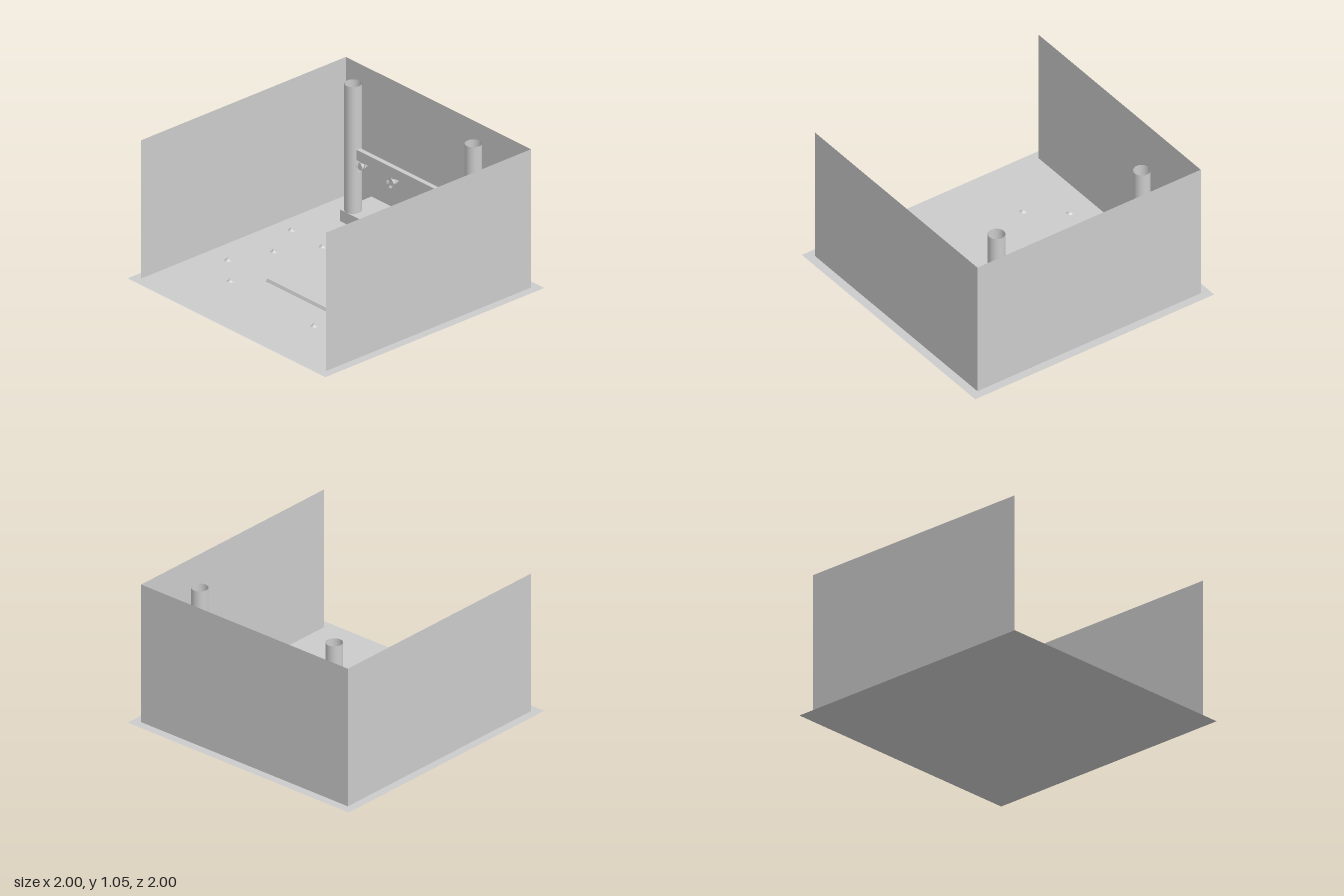
import * as THREE from 'three';

export function createModel() {
  const root = new THREE.Group();
  const smooth = new THREE.MeshStandardMaterial({ color: 0xcccccc, side: THREE.DoubleSide });
  const flat = new THREE.MeshStandardMaterial({ color: 0xcccccc, side: THREE.DoubleSide, flatShading: true });

  const add = (parent, name, geometry, x, y, z, material = flat) => {
    const mesh = new THREE.Mesh(geometry, material);
    mesh.name = name;
    mesh.position.set(x, y, z);
    parent.add(mesh);
    return mesh;
  };

  // Room: ground sheet and three thin walls, open at the front
  const height = 1.05, half = 0.935;
  add(root, 'floor', new THREE.PlaneGeometry(2, 2).rotateX(-Math.PI / 2), 0, 0, 0);
  const wall = new THREE.PlaneGeometry(2 * half, height);
  add(root, 'backWall', wall, 0, height / 2, -half);
  add(root, 'leftWall', wall, half, height / 2, 0).rotation.y = -Math.PI / 2;
  add(root, 'rightWall', wall, -half, height / 2, 0).rotation.y = Math.PI / 2;

  // Stage with a tapered apron; the outline is drawn in x and -z
  const outline = [[-0.675, 0.933], [-0.675, 0.645], [-0.3, 0.645], [-0.14, 0.515],
    [0.14, 0.515], [0.3, 0.645], [0.675, 0.645], [0.675, 0.933]];
  const stageShape = new THREE.Shape(outline.map(([x, y]) => new THREE.Vector2(x, y)));
  const stage = new THREE.ExtrudeGeometry(stageShape, { depth: 0.088, bevelEnabled: false });
  add(root, 'stage', stage.rotateX(-Math.PI / 2), 0, 0, 0);

  // Hollow columns either side of the stage
  const column = new THREE.CylinderGeometry(0.06, 0.06, height, 24, 1, true);
  for (const side of [-1, 1]) {
    add(root, side > 0 ? 'leftColumn' : 'rightColumn', column, side * 0.608, height / 2, -0.705, smooth);
  }

  // Lighting beam between the columns
  add(root, 'lightingBeam', new THREE.BoxGeometry(1.11, 0.077, 0.036), 0, 0.535, -0.703);

  // Spotlights: clamp, yoke, tapered can and four splayed flaps
  const clamp = new THREE.BoxGeometry(0.044, 0.008, 0.022);
  const yokeArm = new THREE.BoxGeometry(0.004, 0.036, 0.012);
  const can = new THREE.CylinderGeometry(0.023, 0.015, 0.06, 12).rotateX(Math.PI / 2);
  const flap = new THREE.PlaneGeometry(0.026, 0.018).translate(0, 0.009, 0).rotateX(0.75);
  for (const x of [-0.508, -0.193, 0.187, 0.505]) {
    const light = new THREE.Group();
    light.name = 'spotlight';
    light.position.set(x, 0.458, -0.703);
    add(light, 'clamp', clamp, 0, 0.033, 0);
    for (const side of [-1, 1]) add(light, 'yokeArm', yokeArm, side * 0.023, 0.014, 0);
    add(light, 'can', can, 0, 0, -0.005, smooth);
    for (let i = 0; i < 4; i++) {
      const pivot = new THREE.Group();
      pivot.name = 'flapMount';
      pivot.rotation.z = i * Math.PI / 2;
      add(pivot, 'flap', flap, 0, 0.021, 0.024);
      light.add(pivot);
    }
    root.add(light);
  }

  // Dance floor with sloping edges
  const danceFloor = new THREE.CylinderGeometry(0.329 * Math.SQRT2, 0.339 * Math.SQRT2, 0.022, 4)
    .rotateY(Math.PI / 4);
  add(root, 'danceFloor', danceFloor, 0, 0.011, -0.002);

  // Round tables on flared pedestals
  const tabletop = new THREE.CircleGeometry(0.065, 32).rotateX(-Math.PI / 2);
  const profile = [[0.026, 0], [0.016, 0.006], [0.008, 0.016], [0.004, 0.03], [0.004, 0.057]];
  const pedestal = new THREE.LatheGeometry(profile.map(([r, y]) => new THREE.Vector2(r, y)), 16);
  const tables = [[-0.79, -0.305], [-0.465, -0.295], [-0.63, 0], [-0.745, 0.315], [-0.5, 0.515],
    [0.38, 0.545], [0.555, 0.255], [0.6, -0.095], [0.475, -0.32], [0.725, -0.435]];
  for (const [x, z] of tables) {
    const table = new THREE.Group();
    table.name = 'table';
    table.position.set(x, 0, z);
    add(table, 'tabletop', tabletop, 0, 0.057, 0);
    add(table, 'pedestal', pedestal, 0, 0, 0, smooth);
    root.add(table);
  }

  return root;
}
